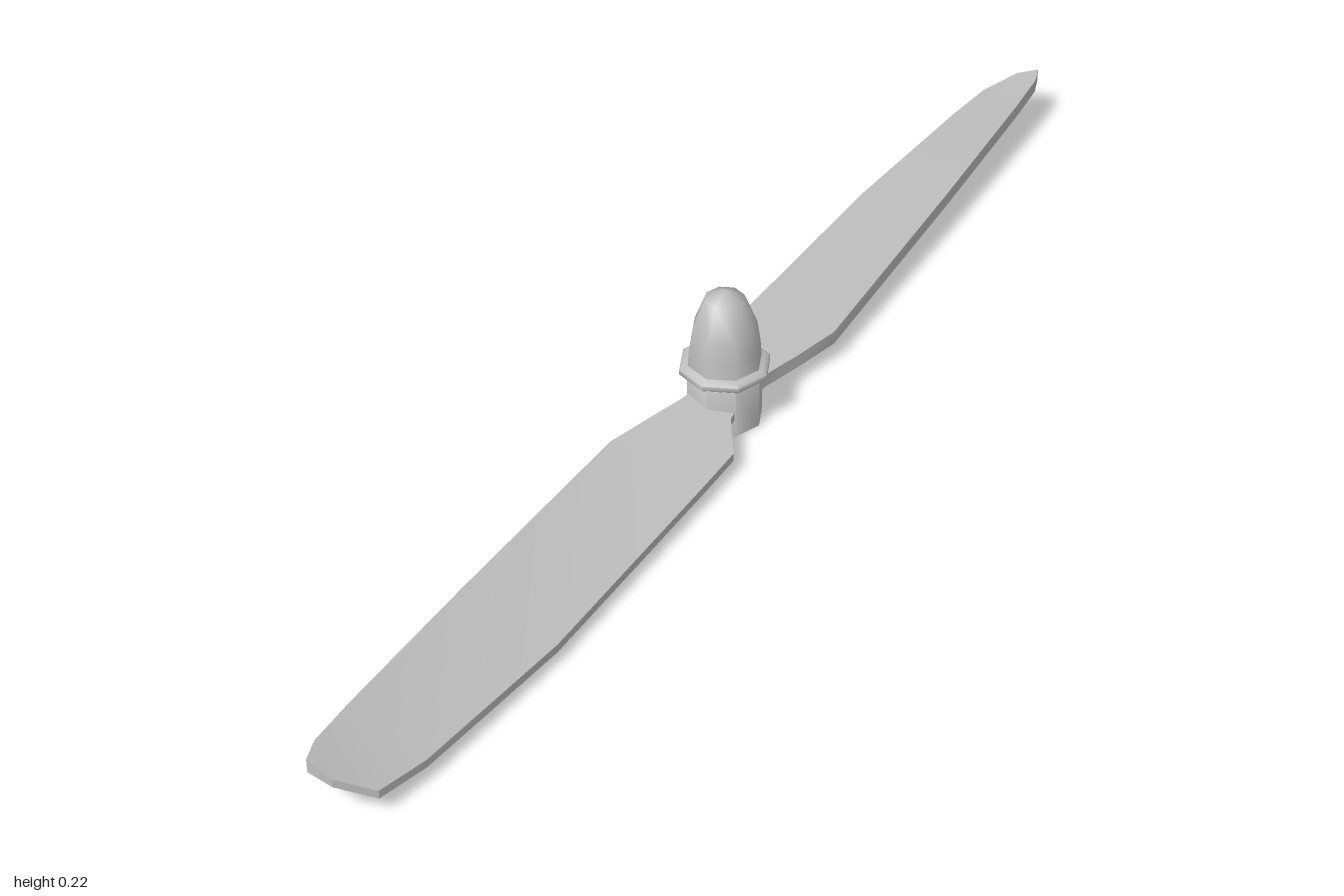
import * as THREE from 'three';
import { toCreasedNormals } from 'three/addons/utils/BufferGeometryUtils.js';

// Solid of revolution with eight sides, smooth around and sharp at steps
function turned(name, points, material) {
  const profile = points.map(([r, y]) => new THREE.Vector2(r, y));
  const mesh = new THREE.Mesh(toCreasedNormals(new THREE.LatheGeometry(profile, 8), 0.95), material);
  mesh.name = name;
  return mesh;
}

// Twisted blade lofted along +z through four-cornered sections
function bladeGeometry() {
  // z, left x, left top y, right x, right top y
  const stations = [
    [0.0, -0.035, 0.052, 0.035, 0.044],
    [0.055, -0.04, 0.052, 0.04, 0.042],
    [0.12, -0.059, 0.052, 0.08, 0.036],
    [0.2, -0.08, 0.053, 0.079, 0.035],
    [0.6, -0.078, 0.073, 0.07, 0.031],
    [0.88, -0.073, 0.087, 0.042, 0.037],
    [0.965, -0.069, 0.091, 0.025, 0.045],
    [1.0, -0.058, 0.091, -0.02, 0.073],
  ];
  const positions = [];
  const index = [];
  for (const [z, xl, yl, xr, yr] of stations) {
    positions.push(xl, yl, z, xr, yr, z, xr, yr - 0.013, z, xl, yl - 0.022, z);
  }
  const last = stations.length - 1;
  for (let i = 0; i < last; i++) {
    for (let k = 0; k < 4; k++) {
      const a = i * 4 + k, b = a + 4;
      const d = i * 4 + (k + 1) % 4, c = d + 4;
      index.push(a, b, c, a, c, d);
    }
  }
  // Closing faces at the tip and inside the hub
  const t = last * 4;
  index.push(t, t + 3, t + 2, t, t + 2, t + 1, 0, 1, 2, 0, 2, 3);
  const geometry = new THREE.BufferGeometry();
  geometry.setAttribute('position', new THREE.Float32BufferAttribute(positions, 3));
  geometry.setIndex(index);
  return toCreasedNormals(geometry, 0.5);
}

export function createModel() {
  const model = new THREE.Group();
  model.name = 'propeller';
  const grey = new THREE.MeshStandardMaterial({ color: 0xbfbfbf });
  grey.name = 'light grey';

  // Hub with a shaft bore open at the bottom
  model.add(turned('hub', [
    [0, 0.07], [0.032, 0.07], [0.032, 0], [0.058, 0], [0.058, 0.079], [0.054, 0.082], [0, 0.082],
  ], grey));

  // Washer collar
  model.add(turned('collar', [
    [0, 0.085], [0.066, 0.085], [0.07, 0.088], [0.07, 0.096], [0.064, 0.101], [0, 0.101],
  ], grey));

  // Pointed spinner nut
  model.add(turned('spinner', [
    [0.057, 0.099], [0.055, 0.125], [0.05, 0.16], [0.03, 0.211], [0, 0.224],
  ], grey));

  // Two blades, half a turn apart
  const geometry = bladeGeometry();
  ['frontBlade', 'backBlade'].forEach((name, i) => {
    const blade = new THREE.Mesh(geometry, grey);
    blade.name = name;
    blade.rotation.y = i * Math.PI;
    model.add(blade);
  });
  return model;
}
